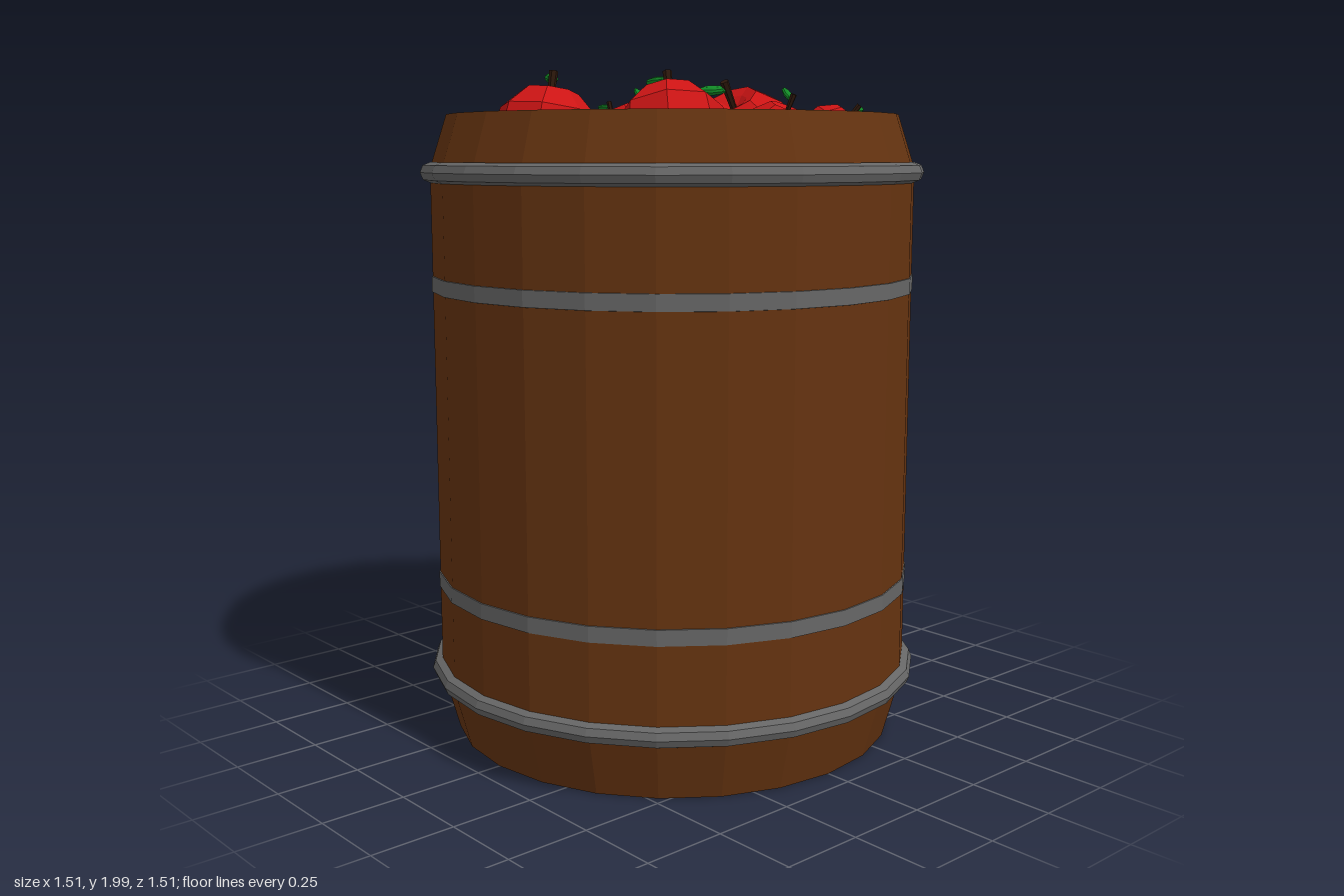
import * as THREE from 'three';

const SIDES = 24;
const mat = (color, extra = {}) => new THREE.MeshStandardMaterial({ color, flatShading: true, ...extra });
const wood = mat(0x653310);
const iron = mat(0x666666);
const dark = mat(0x0d0d0d);
const red = mat(0xcc1414);
const bark = mat(0x2e180c);
const green = mat(0x128a26);

const points = (list) => list.map(([x, y]) => new THREE.Vector2(x, y));

function part(name, geometry, material) {
  const mesh = new THREE.Mesh(geometry, material);
  mesh.name = name;
  return mesh;
}

// Unit-radius apple profile with a dimple at each end
const appleGeo = new THREE.LatheGeometry(points([
  [0, -0.7], [0.4, -0.85], [0.8, -0.5], [1, 0], [0.92, 0.48], [0.52, 0.87], [0.3, 0.8], [0, 0.62],
]), 8);
const stemGeo = new THREE.CylinderGeometry(0.085, 0.06, 0.68, 6);
const leafGeo = new THREE.SphereGeometry(1, 8, 6).scale(0.13, 0.09, 0.32);

// x, z, radius, tilt x, tilt z, leaf direction x, leaf direction z
const APPLES = [
  [0.18, -0.475, 0.065, -0.1, 0, -0.1, -1],
  [-0.16, -0.365, 0.105, 0.05, -0.45, -1, 0],
  [-0.335, -0.355, 0.065, 0, -0.1, -0.7, -0.7],
  [0.05, -0.325, 0.1, 0, -0.3, 0, -1],
  [0.25, -0.325, 0.105, 0.1, -0.15, -1, 0.1],
  [0.45, -0.225, 0.105, -0.1, -0.3, 0, -1],
  [-0.46, -0.225, 0.065, -0.1, -0.1, -0.7, -0.7],
  [-0.3, -0.22, 0.105, 0.25, 0.35, 0.4, -0.9],
  [-0.08, -0.24, 0.065, 0, 0.3, 0, -1],
  [0.08, -0.13, 0.11, 0.25, 0.35, -1, 0],
  [-0.48, 0.005, 0.15, 0.2, -0.05, 0.5, -0.85],
  [-0.16, 0, 0.105, 0, 0.5, 0, -1],
  [0.285, 0.02, 0.16, -0.5, 0.05, -0.7, -0.7],
  [0.5, 0, 0.065, 0.35, 0.4, 0.8, 0.3],
  [0.08, 0.16, 0.065, -0.25, -0.3, -0.6, -0.8],
  [-0.08, 0.285, 0.068, 0, -0.6, 0, -1],
  [0.24, 0.25, 0.065, -0.4, 0.3, -1, 0.2],
  [0.415, 0.265, 0.105, 0.45, 0.45, 0.8, -0.5],
  [0.065, 0.375, 0.105, 0.15, 0.35, 0.2, -1],
  [-0.305, 0.345, 0.155, 0.2, -0.35, 0, -1],
  [-0.105, 0.49, 0.07, 0.2, 0.75, 0.3, 0.9],
];

function makeApple([x, z, r, tx, tz, lx, lz]) {
  const apple = new THREE.Group();
  apple.name = 'apple';
  const stem = part('stem', stemGeo, bark);
  stem.position.y = 0.92;
  const leaf = part('leaf', leafGeo, green);
  const heading = Math.atan2(lx, lz);
  leaf.rotation.set(-0.3, heading, 0, 'YXZ');
  leaf.position.set(Math.sin(heading) * 0.27, 1.17, Math.cos(heading) * 0.27);
  apple.add(part('appleBody', appleGeo, red), stem, leaf);
  // Lean the apple so its stem points along the tilt
  const up = new THREE.Vector3(tx, Math.sqrt(1 - tx * tx - tz * tz), tz);
  apple.quaternion.setFromUnitVectors(new THREE.Vector3(0, 1, 0), up);
  apple.scale.setScalar(r);
  apple.position.set(x, r > 0.08 ? 1.805 : 1.8, z);
  return apple;
}

export function createModel() {
  const model = new THREE.Group();
  model.name = 'appleBarrel';

  // Barrel wall: closed base, tapered ends, flat rim and inner wall
  model.add(part('barrelWall', new THREE.LatheGeometry(points([
    [0, 0], [0.675, 0], [0.725, 0.18], [0.725, 1.72], [0.675, 1.875], [0.615, 1.875], [0.615, 1.74],
  ]), SIDES), wood));

  // Dark bed the apples rest on
  const bed = part('barrelBed', new THREE.CircleGeometry(0.615, SIDES).rotateX(-Math.PI / 2), dark);
  bed.position.y = 1.76;
  model.add(bed);

  // Raised hoops at the shoulders
  for (const y of [0.197, 1.707]) {
    const hoop = part('hoop', new THREE.TorusGeometry(0.725, 0.03, 8, SIDES).rotateX(Math.PI / 2), iron);
    hoop.position.y = y;
    model.add(hoop);
  }

  // Flat bands around the body
  for (const y of [0.478, 1.38]) {
    const band = part('band', new THREE.CylinderGeometry(0.728, 0.728, 0.046, SIDES), iron);
    band.geometry = new THREE.LatheGeometry(points([
      [0.724, -0.024], [0.728, -0.023], [0.728, 0.023], [0.724, 0.024],
    ]), SIDES);
    band.position.y = y;
    model.add(band);
  }

  const apples = new THREE.Group();
  apples.name = 'apples';
  APPLES.forEach((a) => apples.add(makeApple(a)));
  model.add(apples);
  return model;
}
